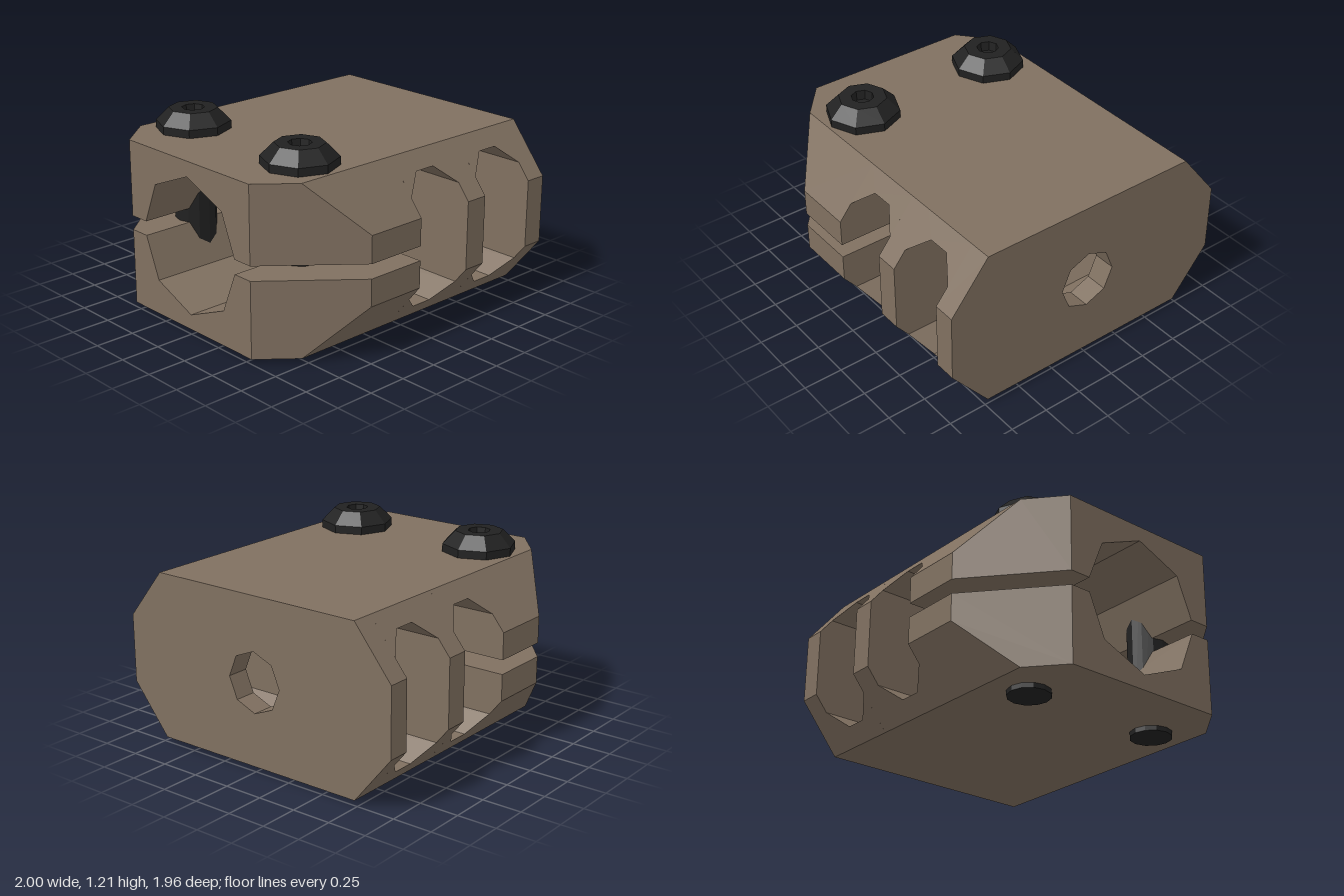
import * as THREE from 'three';

const MID = 0.555; // height of the bore axis; the block mirrors about it
const brown = new THREE.MeshStandardMaterial({ color: 0x807060 });
brown.name = 'earth brown';
const black = new THREE.MeshStandardMaterial({ color: 0x212121 });
black.name = 'bolt black';

const shapeOf = (pts) => new THREE.Shape(pts.map(([a, b]) => new THREE.Vector2(a, b)));

// Octagon with a corner at the top
const octagon = (r) => Array.from({ length: 8 }, (_, i) => {
  const a = (i * Math.PI) / 4;
  return [r * Math.sin(a), MID + r * Math.cos(a)];
});

// Extrude a z-y section along x
function alongX(shape, x0, x1) {
  const g = new THREE.ExtrudeGeometry(shape, { depth: x1 - x0, bevelEnabled: false });
  return g.rotateY(Math.PI / 2).translate(x0, 0, 0);
}

function warp(g, rule) {
  const p = g.attributes.position;
  const v = new THREE.Vector3();
  for (let i = 0; i < p.count; i++) {
    rule(v.fromBufferAttribute(p, i));
    p.setXYZ(i, v.x, v.y, v.z);
  }
  g.computeVertexNormals();
  return g;
}

function faceted(g) {
  const f = g.toNonIndexed();
  f.computeVertexNormals();
  return f;
}

export function createModel() {
  const model = new THREE.Group();
  model.name = 'clampBlock';
  const add = (name, geometry, material) => {
    const m = new THREE.Mesh(geometry, material);
    m.name = name;
    model.add(m);
    return m;
  };

  // Solid walls with the narrow bore
  const section = [[0.73, 0.03], [0.98, 0.34], [0.98, 0.77], [0.73, 1.08],
    [-0.73, 1.08], [-0.98, 0.77], [-0.98, 0.34], [-0.73, 0.03]];
  for (const [name, x0, x1] of [['middleWall', 0.31, 0.46], ['endWall', 0.86, 1]]) {
    const s = shapeOf(section);
    s.holes.push(new THREE.Path(octagon(0.19).map(([a, b]) => new THREE.Vector2(a, b))));
    add(name, alongX(s, x0, x1), brown);
  }

  for (const side of [1, -1]) {
    const level = side > 0 ? 'upper' : 'lower';
    const flip = ([a, b]) => [a, MID + side * (b - MID)];

    // Bridges over and under the side ports, ends sloped to the chamfer
    for (const x of [-0.09, 0.46]) {
      const pts = [[0, 0.87], [0.13, 0.98], [0.27, 0.98], [0.4, 0.87], [0.4, 1.08], [0, 1.08]];
      const g = new THREE.ExtrudeGeometry(shapeOf(pts.map(([a, b]) => flip([x + a, b]))),
        { depth: 1, bevelEnabled: false });
      warp(g, (v) => {
        const half = 0.98 - 0.806 * (Math.abs(v.y - MID) - 0.215);
        v.z = (v.z - 0.5) * 2 * half;
      });
      add(level + 'PortBridge', g, brown);
    }

    // Clamp jaw centre, with half of the wide bore
    const jaw = [[0.545, 0.6], [0.545, 1.08], [-0.545, 1.08], [-0.545, 0.6], [-0.411, 0.6],
      [-0.304, 0.859], [0, 0.985], [0.304, 0.859], [0.411, 0.6]];
    add(level + 'Jaw', alongX(shapeOf(jaw.map(flip)), -1, -0.09), brown);

    // Jaw cheeks, cut back at an angle
    for (const m of [1, -1]) {
      const cheek = [[0.545, 0.6], [0.98, 0.6], [0.98, 0.77], [0.73, 1.08], [0.545, 1.08]];
      const g = alongX(shapeOf(cheek.map(flip).map(([a, b]) => [m * a, b])), -1, -0.09);
      warp(g, (v) => {
        if (v.x < -0.5) v.x = -1 + (Math.abs(v.z) - 0.545) / 0.845;
      });
      add(level + 'JawCheek', g, brown);
    }
  }

  // Clamp bolts: domed head with socket, and shank
  const head = [[0, 1.07], [0.23, 1.08], [0.23, 1.13], [0.15, 1.21], [0.07, 1.21], [0.065, 1.15], [0, 1.15]]
    .map(([r, y]) => new THREE.Vector2(r, y));
  for (const z of [0.48, -0.48]) {
    add('boltHead', faceted(new THREE.LatheGeometry(head, 8)), black).position.set(-0.565, 0, z);
    add('boltShank', faceted(new THREE.CylinderGeometry(0.13, 0.13, 1.08, 12)), black)
      .position.set(-0.565, 0.54, z);
  }
  return model;
}
